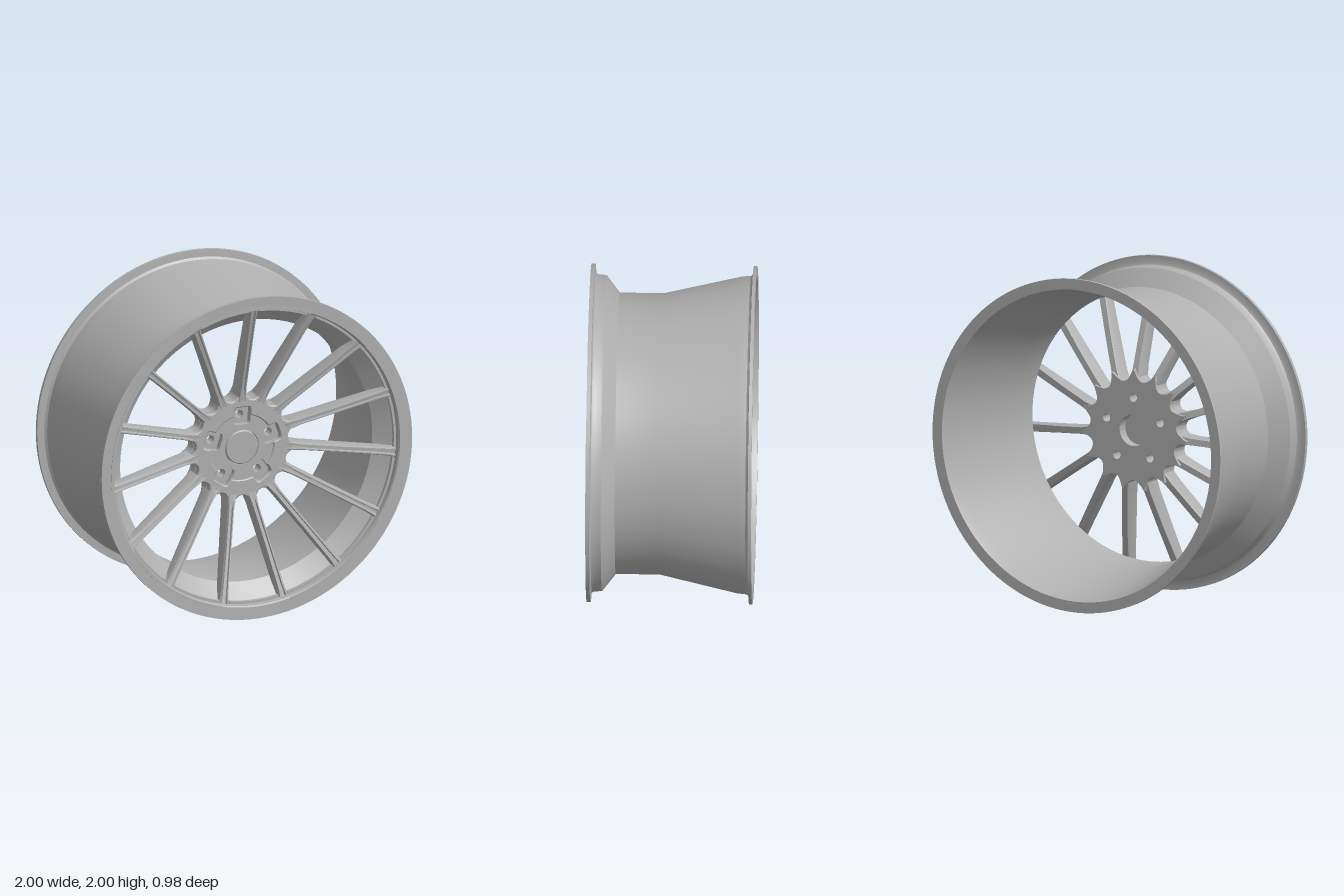
import * as THREE from 'three';
import { toCreasedNormals } from 'three/addons/utils/BufferGeometryUtils.js';

const SPOKES = 15, LUGS = 5, LUG_R = 0.195;
const V = (x, y) => new THREE.Vector2(x, y);

export function createModel() {
  const metal = new THREE.MeshStandardMaterial({ color: 0xb0b0b0 });
  metal.name = 'grey metal';
  const wheel = new THREE.Group();
  wheel.name = 'wheel';
  wheel.position.y = 1;

  const add = (name, geo, parent = wheel) => {
    const mesh = new THREE.Mesh(geo, metal);
    mesh.name = name;
    parent.add(mesh);
    return mesh;
  };
  // revolve [radius, z] pairs around the axle
  const revolve = (pairs, crease = 0.5) => toCreasedNormals(
    new THREE.LatheGeometry(pairs.map(p => V(...p)), 120).rotateX(Math.PI / 2), crease);
  // extrude a shape from z0 to z1, with an optional chamfer
  const slab = (shape, z0, z1, bevel = 0) => toCreasedNormals(
    new THREE.ExtrudeGeometry(shape, {
      depth: z1 - z0 - 2 * bevel, curveSegments: 32, bevelEnabled: bevel > 0,
      bevelThickness: bevel, bevelSize: bevel, bevelOffset: -bevel, bevelSegments: 1,
    }).translate(0, 0, z0 + bevel), 0.5);
  const circle = (x, y, r) => new THREE.Path().absarc(x, y, r, 0, Math.PI * 2, true);
  const lugAngle = i => Math.PI / 2 + i * Math.PI * 2 / LUGS;

  // barrel: outer wall from back to front, then inner wall back again
  add('rim', revolve([
    [0.935, -0.49], [1, -0.49], [1, -0.47], [0.955, -0.467], [0.942, -0.455], [0.937, -0.40],
    [0.832, 0.06], [0.832, 0.32], [0.935, 0.40], [0.937, 0.445], [0.945, 0.46], [0.96, 0.467],
    [1, 0.467], [1, 0.49], [0.925, 0.488], [0.918, 0.48], [0.912, 0.41],
    [0.812, 0.33], [0.812, 0.06], [0.915, -0.40], [0.925, -0.46], [0.935, -0.49],
  ]));

  // arc plates on the inner part of the rim
  const arcPlate = (r0, r1, mid, half) => {
    const s = new THREE.Shape();
    s.absarc(0, 0, r1, mid - half, mid + half, false);
    s.absarc(0, 0, r0, mid + half, mid - half, true);
    return s;
  };
  for (let i = 0; i < LUGS; i++)
    add('rimPad', slab(arcPlate(0.921, 0.938, lugAngle(i), 0.39), 0.484, 0.492));
  for (let i = 0; i < SPOKES; i++) {
    const mid = Math.PI / 2 + (i + 0.5) * Math.PI * 2 / SPOKES;
    add('windowLip', slab(arcPlate(0.9, 0.918, mid, 0.175), 0.425, 0.448));
  }

  // hub outline: scalloped, flaring out at each spoke root
  const hubOutline = () => {
    const pts = [], n = SPOKES * 16;
    for (let i = 0; i < n; i++) {
      const a = Math.PI / 2 + i * Math.PI * 2 / n;
      const off = Math.abs(((i + 8) % 16) - 8) / 8;
      const r = 0.298 + 0.07 * Math.max(0, 1 - off * 1.05) ** 2;
      pts.push(V(r * Math.cos(a), r * Math.sin(a)));
    }
    return pts;
  };
  // circle whose edge is notched by square lug pockets, outward (+1) or inward (-1)
  const pocketOutline = side => {
    const pts = [], h = 0.055;
    for (let i = 0; i < LUGS; i++) {
      const a = lugAngle(i), c = Math.cos(a), s = Math.sin(a);
      for (let k = 0; k <= 20; k++) {
        const t = -Math.cos(k / 20 * Math.PI);
        const d = h * Math.max(0, 1 - t ** 6) ** (1 / 6);
        const u = LUG_R + side * d, v = t * h;
        pts.push(V(u * c - v * s, u * s + v * c));
      }
      const a0 = a + Math.atan(h / LUG_R), a1 = lugAngle(i + 1) - Math.atan(h / LUG_R);
      for (let k = 1; k < 8; k++) {
        const b = a0 + (a1 - a0) * k / 8;
        pts.push(V(0.2026 * Math.cos(b), 0.2026 * Math.sin(b)));
      }
    }
    return pts;
  };

  // back plate with lug holes and centre bore
  const back = new THREE.Shape(hubOutline());
  back.holes.push(circle(0, 0, 0.095));
  for (let i = 0; i < LUGS; i++)
    back.holes.push(circle(LUG_R * Math.cos(lugAngle(i)), LUG_R * Math.sin(lugAngle(i)), 0.025));
  add('hubBack', slab(back, 0.15, 0.225));

  // front plate and the slightly lower centre inside it
  const front = new THREE.Shape(hubOutline());
  front.holes.push(new THREE.Path(pocketOutline(1)));
  add('hubFront', slab(front, 0.225, 0.275, 0.006));
  const centre = new THREE.Shape(pocketOutline(-1));
  centre.holes.push(circle(0, 0, 0.108));
  add('hubCentre', slab(centre, 0.225, 0.265));
  add('centreCap', revolve([[0, 0.215], [0.104, 0.215], [0.104, 0.264], [0.098, 0.27], [0, 0.27]]));

  // spoke: grooved section lofted outward; stations are [radius, half width, back z, front z]
  const stations = [
    [0.26, 0.030, 0.160, 0.270], [0.32, 0.028, 0.162, 0.282], [0.38, 0.022, 0.180, 0.298],
    [0.60, 0.022, 0.255, 0.364], [0.84, 0.025, 0.345, 0.432], [0.88, 0.027, 0.375, 0.445],
    [0.917, 0.034, 0.415, 0.455],
  ];
  const section = ([r, w, zb, zf], i) => {
    const g = i < 2 ? 0.002 : 0.014;
    const half = [[0.85, zb], [1, zb + 0.01], [1, zf - 0.016], [0.72, zf], [0.45, zf], [0.28, zf - g]];
    return [...half, ...half.slice().reverse().map(([x, z]) => [-x, z])].map(([x, z]) => [x * w, r, z]);
  };
  const rings = stations.map(section), n = rings[0].length, pos = [];
  for (let i = 0; i < rings.length - 1; i++)
    for (let j = 0; j < n; j++) {
      const k = (j + 1) % n;
      const a = rings[i][j], b = rings[i][k], c = rings[i + 1][k], d = rings[i + 1][j];
      pos.push(...a, ...c, ...b, ...a, ...d, ...c);
    }
  const spokeGeo = new THREE.BufferGeometry();
  spokeGeo.setAttribute('position', new THREE.Float32BufferAttribute(pos, 3));
  const spoke = toCreasedNormals(spokeGeo, 0.4);
  for (let i = 0; i < SPOKES; i++)
    add('spoke', spoke).rotation.z = i * Math.PI * 2 / SPOKES;

  const model = new THREE.Group();
  model.name = 'wheelModel';
  model.add(wheel);
  return model;
}
